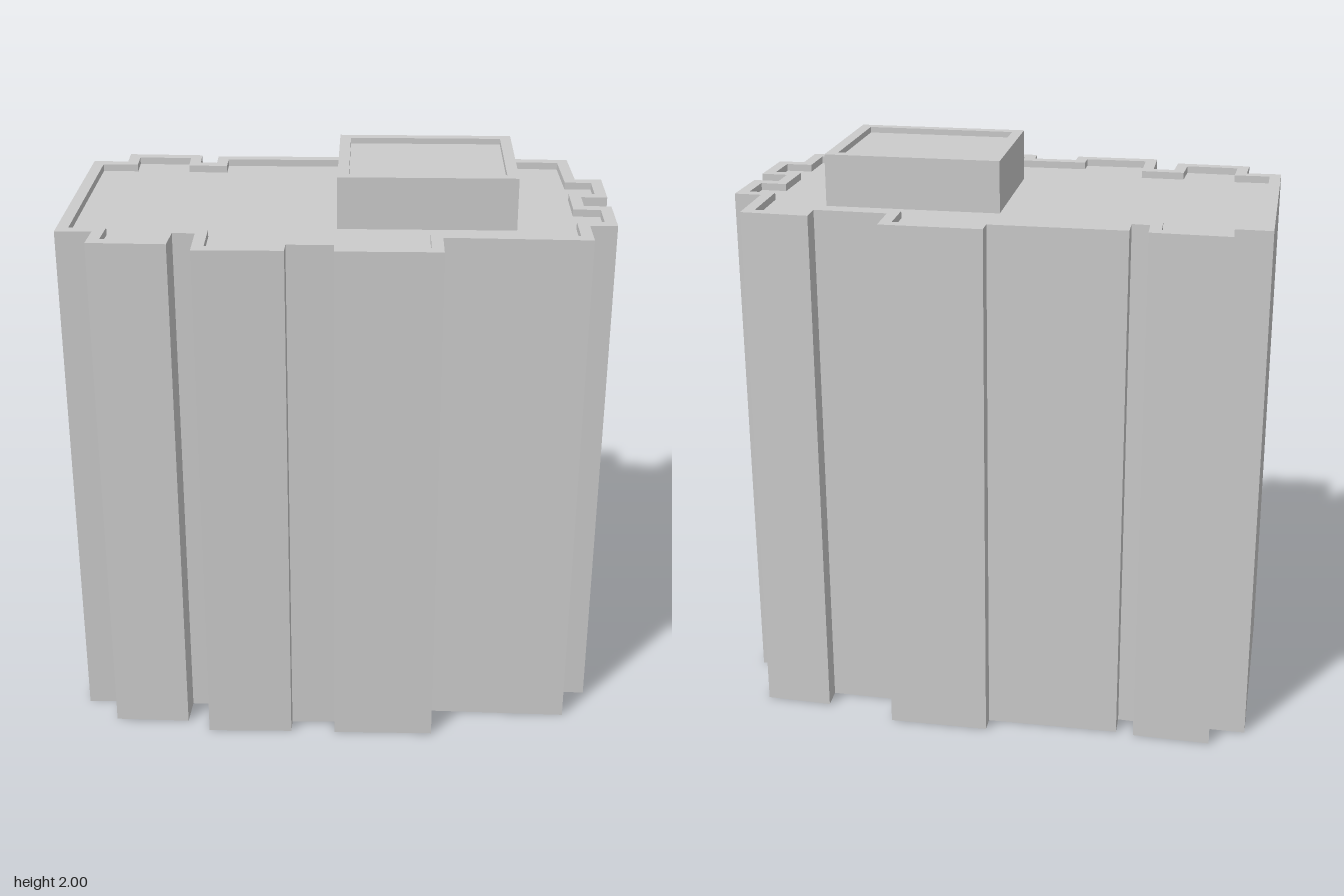
import * as THREE from 'three';

const material = new THREE.MeshStandardMaterial({
  color: 0xcccccc, flatShading: true, side: THREE.DoubleSide,
});

// Footprints as [x, z], clockwise seen from above
const TOWER = [
  // back
  [-0.93, -0.405], [-0.805, -0.405], [-0.81, -0.5], [-0.54, -0.497], [-0.535, -0.405],
  [-0.475, -0.403], [-0.478, -0.487], [-0.016, -0.497], [-0.017, -0.557], [0.33, -0.563],
  [0.335, -0.42], [0.587, -0.42], [0.583, -0.5], [0.817, -0.495],
  // +x side
  [0.827, -0.255], [0.921, -0.255], [0.922, -0.048], [0.832, -0.048],
  [0.833, 0.05], [0.926, 0.05], [0.927, 0.257], [0.835, 0.26],
  // front
  [0.837, 0.405], [0.35, 0.4], [0.353, 0.54], [0.003, 0.547], [0, 0.485], [-0.155, 0.49],
  [-0.155, 0.548], [-0.453, 0.557], [-0.458, 0.393], [-0.533, 0.393], [-0.537, 0.503],
  [-0.8, 0.502], [-0.797, 0.39], [-0.92, 0.395],
];
const PENTHOUSE = [[-0.012, -0.255], [0.59, -0.265], [0.597, 0.245], [0, 0.255]];

// Mitred inward offset of a footprint
function inset(points, width) {
  const n = points.length;
  const normal = (a, b) => {
    const dx = b[0] - a[0], dz = b[1] - a[1], l = Math.hypot(dx, dz);
    return [-dz / l, dx / l];
  };
  return points.map((p, i) => {
    const n1 = normal(points[(i + n - 1) % n], p);
    const n2 = normal(p, points[(i + 1) % n]);
    const k = width / (1 + n1[0] * n2[0] + n1[1] * n2[1]);
    return [p[0] + k * (n1[0] + n2[0]), p[1] + k * (n1[1] + n2[1])];
  });
}

// Band of quads joining two rings of equal length
function band(lower, y0, upper, y1, name) {
  const pos = [];
  lower.forEach((p, i) => {
    const j = (i + 1) % lower.length;
    const a = [p[0], y0, p[1]], b = [lower[j][0], y0, lower[j][1]];
    const c = [upper[i][0], y1, upper[i][1]], d = [upper[j][0], y1, upper[j][1]];
    pos.push(...a, ...c, ...d, ...a, ...d, ...b);
  });
  const geometry = new THREE.BufferGeometry();
  geometry.setAttribute('position', new THREE.Float32BufferAttribute(pos, 3));
  geometry.computeVertexNormals();
  const mesh = new THREE.Mesh(geometry, material);
  mesh.name = name;
  return mesh;
}

// Walls open underneath, a flat rim and a slightly sunken roof
function block(name, outline, base, top, rimWidth, depth) {
  const group = new THREE.Group();
  group.name = name;
  const inner = inset(outline, rimWidth);
  const shape = new THREE.Shape(inner.map(([x, z]) => new THREE.Vector2(x, -z)));
  const roof = new THREE.Mesh(new THREE.ShapeGeometry(shape).rotateX(-Math.PI / 2), material);
  roof.position.y = top - depth;
  roof.name = name + 'Roof';
  group.add(
    band(outline, base, outline, top, name + 'Walls'),
    band(outline, top, inner, top, name + 'ParapetTop'),
    band(inner, top, inner, top - depth, name + 'ParapetInside'),
    roof,
  );
  return group;
}

export function createModel() {
  const model = new THREE.Group();
  model.name = 'towerBlock';
  model.add(
    block('tower', TOWER, 0, 1.847, 0.04, 0.025),
    block('penthouse', PENTHOUSE, 1.822, 2, 0.038, 0.02),
  );
  return model;
}
